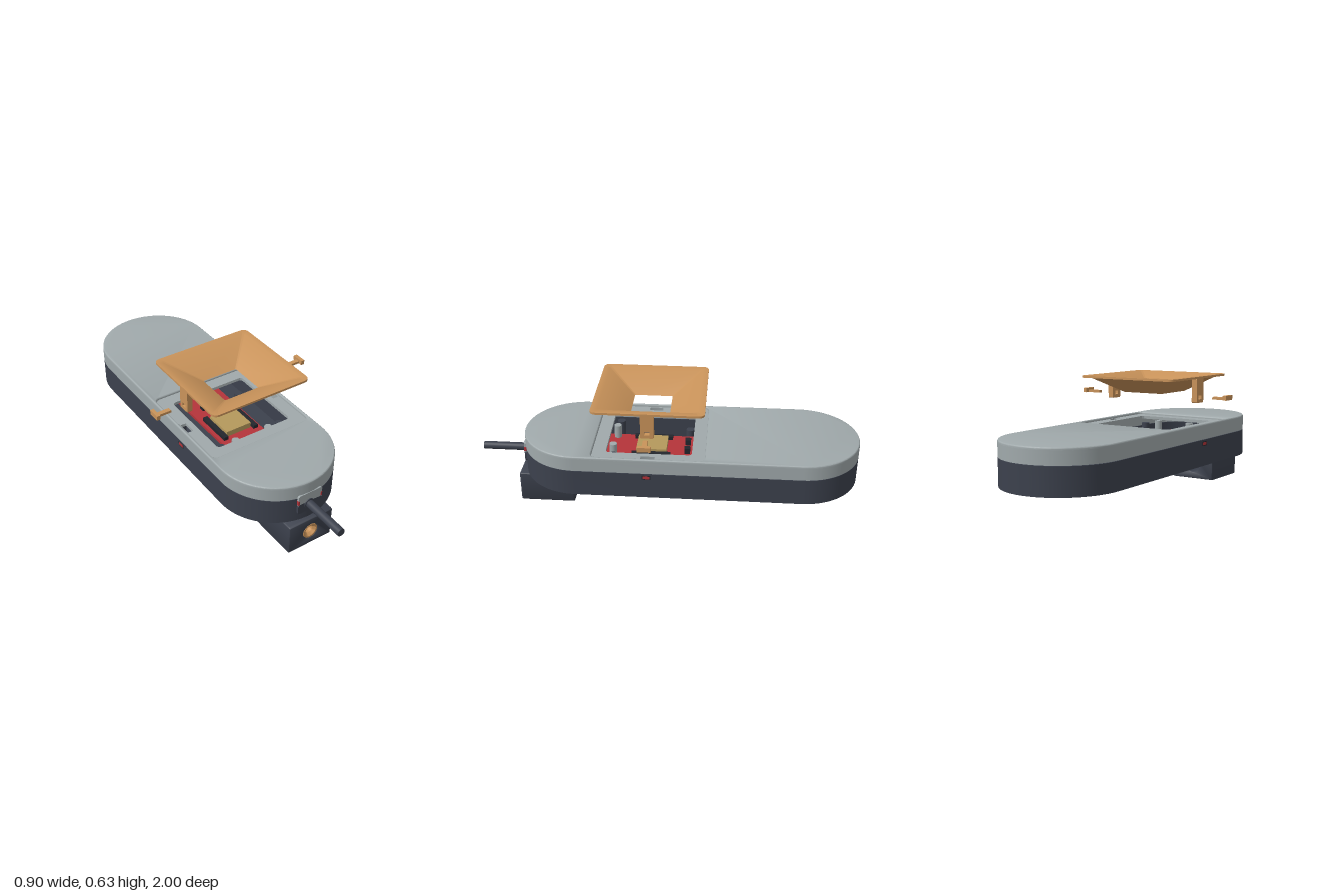
import * as THREE from 'three';
import { toCreasedNormals } from 'three/addons/utils/BufferGeometryUtils.js';

const mat = (name, color) => Object.assign(new THREE.MeshStandardMaterial({ color }), { name });

export function createModel() {
  const root = new THREE.Group();
  root.name = 'handheldSensor';
  const dark = mat('darkCasing', 0x3c414d), grey = mat('greyCover', 0xa0a9ab);
  const orange = mat('copperPlastic', 0xc9935a), red = mat('redBoard', 0xb4343a);
  const tan = mat('tanChip', 0xb5995c), black = mat('blackParts', 0x23262d);

  const add = (name, geo, m, x = 0, y = 0, z = 0) => {
    const mesh = new THREE.Mesh(geo, m);
    mesh.name = name;
    mesh.position.set(x, y, z);
    root.add(mesh);
    return mesh;
  };
  const box = (name, m, x0, x1, y0, y1, z0, z1) =>
    add(name, new THREE.BoxGeometry(x1 - x0, y1 - y0, z1 - z0), m, (x0 + x1) / 2, (y0 + y1) / 2, (z0 + z1) / 2);
  const post = (name, m, r, x, y0, y1, z) =>
    add(name, new THREE.CylinderGeometry(r, r, y1 - y0, 20), m, x, (y0 + y1) / 2, z);

  // Rounded rectangle drawn in a plane, used for shapes and holes
  const rounded = (cx, cy, hx, hy, r, T = THREE.Shape) => {
    const p = new T();
    p.absarc(cx + hx - r, cy + hy - r, r, 0, Math.PI / 2);
    p.absarc(cx - hx + r, cy + hy - r, r, Math.PI / 2, Math.PI);
    p.absarc(cx - hx + r, cy - hy + r, r, Math.PI, Math.PI * 1.5);
    p.absarc(cx + hx - r, cy - hy + r, r, Math.PI * 1.5, Math.PI * 2);
    p.closePath();
    return p;
  };
  const hole = (...a) => rounded(...a, THREE.Path);
  // Plan shapes use (x, -z); the stadium runs z = -1 .. 0.76
  const stadium = (inset = 0, T) => rounded(0, 0.12, 0.305 - inset, 0.88 - inset, 0.3049 - inset, T);
  const slab = (name, shape, holes, m, y0, y1, bevel) => {
    shape.holes.push(...holes);
    const t = bevel ? 0.012 : 0;
    const geo = new THREE.ExtrudeGeometry(shape, {
      depth: y1 - y0 - 2 * t, curveSegments: 28, bevelEnabled: !!bevel,
      bevelThickness: t, bevelSize: bevel || 0, bevelOffset: -(bevel || 0), bevelSegments: 4,
    });
    geo.translate(0, 0, t).rotateX(-Math.PI / 2);
    return add(name, toCreasedNormals(geo, 0.6), m, 0, y0, 0);
  };

  // Lower casing: vented floor, blind inner floor and wall
  const vents = [];
  for (let i = 0; i < 5; i++) vents.push(hole(0, -0.19 + i * 0.05, 0.055, 0.01, 0.0099));
  for (let i = 0; i < 7; i++) vents.push(hole(0, 0.22 + i * 0.05, i === 0 ? 0.025 : 0.055, i === 0 ? 0.02 : 0.01, 0.0099));
  slab('casingFloor', stadium(), vents, dark, 0.165, 0.18);
  slab('casingInnerFloor', stadium(), [], dark, 0.18, 0.19);
  slab('casingWall', stadium(), [stadium(0.02, THREE.Path)], dark, 0.19, 0.303);

  // Cover: wall, plate with opening and leg slots, rounded top with square recess
  const CZ = 0.083;
  slab('coverWall', stadium(), [stadium(0.02, THREE.Path)], grey, 0.305, 0.357);
  slab('coverPlate', stadium(), [
    hole(0, -CZ, 0.22, 0.22, 0.02),
    hole(-0.265, -CZ, 0.016, 0.036, 0.003), hole(0.265, -CZ, 0.016, 0.036, 0.003),
  ], grey, 0.357, 0.373);
  slab('coverTop', stadium(), [hole(0, -CZ, 0.288, 0.288, 0.03)], grey, 0.36, 0.385, 0.006);

  // Circuit board, chip and small components
  box('circuitBoard', red, -0.125, 0.125, 0.27, 0.285, -0.25, 0.46);
  box('chip', tan, -0.075, 0.075, 0.285, 0.315, 0.003, 0.163);
  for (const s of [-1, 1]) {
    box('chipRail', black, s * 0.092 - 0.013, s * 0.092 + 0.013, 0.285, 0.305, -0.02, 0.185);
    post('boardPost', grey, 0.02, s * 0.1, 0.285, 0.355, 0.28);
    post('casingPost', dark, 0.022, s * 0.18, 0.19, 0.34, 0.27);
    post('casingPost', dark, 0.022, s * 0.18, 0.19, 0.3, -0.11);
    box('component', black, s * 0.045 - 0.015, s * 0.045 + 0.015, 0.285, 0.315, -0.12, -0.09);
    // Pin openings in the casing sides
    box('pinOpeningFrame', black, s * 0.3055 - 0.001, s * 0.3055 + 0.001, 0.271, 0.294, 0.065, 0.11);
    box('pinOpening', red, s * 0.3065 - 0.001, s * 0.3065 + 0.001, 0.275, 0.29, 0.07, 0.105);
    box('cableSlotGap', red, s * 0.067 - 0.004, s * 0.067 + 0.004, 0.268, 0.292, 0.74, 0.7645);
  }

  // Cable clamp at the front
  const clamp = (name, shape, m) => add(name,
    new THREE.ExtrudeGeometry(shape, { depth: 0.05, bevelEnabled: false, curveSegments: 8 }), m, 0, 0, 0.713);
  clamp('clampLower', rounded(0, 0.237, 0.07, 0.029, 0.012), dark);
  clamp('clampUpper', rounded(0, 0.289, 0.07, 0.032, 0.01), grey);
  const collar = add('cableCollar', new THREE.CylinderGeometry(0.028, 0.028, 0.05, 28), dark, -0.005, 0.253, 0.743);
  const cable = add('cable', new THREE.CylinderGeometry(0.021, 0.021, 0.26, 28), dark, -0.005, 0.253, 0.87);
  collar.rotation.x = cable.rotation.x = Math.PI / 2;

  // Mounting block with a through bore and a threaded insert
  const block = rounded(0, 0.0825, 0.13, 0.0825, 0.006);
  block.holes.push(new THREE.Path().absarc(0, 0.082, 0.042, 0, Math.PI * 2));
  const blockGeo = new THREE.ExtrudeGeometry(block, {
    depth: 0.26, curveSegments: 24, bevelThickness: 0.015, bevelSize: 0.005, bevelOffset: -0.005, bevelSegments: 4,
  });
  add('mountingBlock', toCreasedNormals(blockGeo, 0.6), dark, 0, 0, 0.51);
  const ringProfile = [[0.022, -0.06], [0.042, -0.06], [0.042, 0.06], [0.034, 0.06], [0.022, 0.045], [0.022, -0.06]];
  const insert = add('threadedInsert', toCreasedNormals(new THREE.LatheGeometry(
    ringProfile.map(([r, y]) => new THREE.Vector2(r, y)), 32), 0.5), orange, 0, 0.082, 0.724);
  insert.rotation.x = Math.PI / 2;

  // Funnel: rounded-square loops joined along a closed profile [half width, corner radius, y]
  const profile = [[0.283, 0.03, 0.62], [0.283, 0.03, 0.631], [0.25, 0.01, 0.631],
    [0.1, 0.006, 0.541], [0.118, 0.006, 0.541], [0.248, 0.012, 0.62], [0.283, 0.03, 0.62]];
  const pos = [], idx = [], N = 28;
  for (const [h, r, y] of profile) {
    for (let i = 0; i < N; i++) {
      const q = Math.floor(i / 7), a = (q + (i % 7) / 6) * Math.PI / 2;
      const sx = q === 0 || q === 3 ? 1 : -1, sz = q < 2 ? 1 : -1;
      pos.push(sx * (h - r) + r * Math.cos(a), y, sz * (h - r) + r * Math.sin(a));
    }
  }
  for (let k = 0; k < profile.length - 1; k++) {
    for (let i = 0; i < N; i++) {
      const a = k * N + i, b = k * N + (i + 1) % N;
      idx.push(a, a + N, b, b, a + N, b + N);
    }
  }
  const funnel = new THREE.BufferGeometry();
  funnel.setAttribute('position', new THREE.Float32BufferAttribute(pos, 3));
  funnel.setIndex(idx);
  add('funnel', toCreasedNormals(funnel, 0.6), orange, 0, 0, CZ);

  // Funnel legs with pin holes, and the loose locking pins
  for (const s of [-1, 1]) {
    const leg = rounded(0, 0.559, 0.034, 0.064, 0.006);
    leg.holes.push(hole(0, 0.523, 0.014, 0.01, 0.001));
    const geo = new THREE.ExtrudeGeometry(leg, { depth: 0.03, bevelEnabled: false, curveSegments: 6 });
    geo.translate(0, 0, -0.015).rotateY(Math.PI / 2);
    add('funnelLeg', geo, orange, s * 0.264, 0, CZ);
    const pin = (name, a, b, ...rest) => box(name, orange, Math.min(s * a, s * b), Math.max(s * a, s * b), ...rest);
    pin('pinShaft', 0.358, 0.432, 0.517, 0.53, 0.07, 0.094);
    pin('pinHead', 0.43, 0.45, 0.517, 0.541, 0.048, 0.114);
  }
  return root;
}
